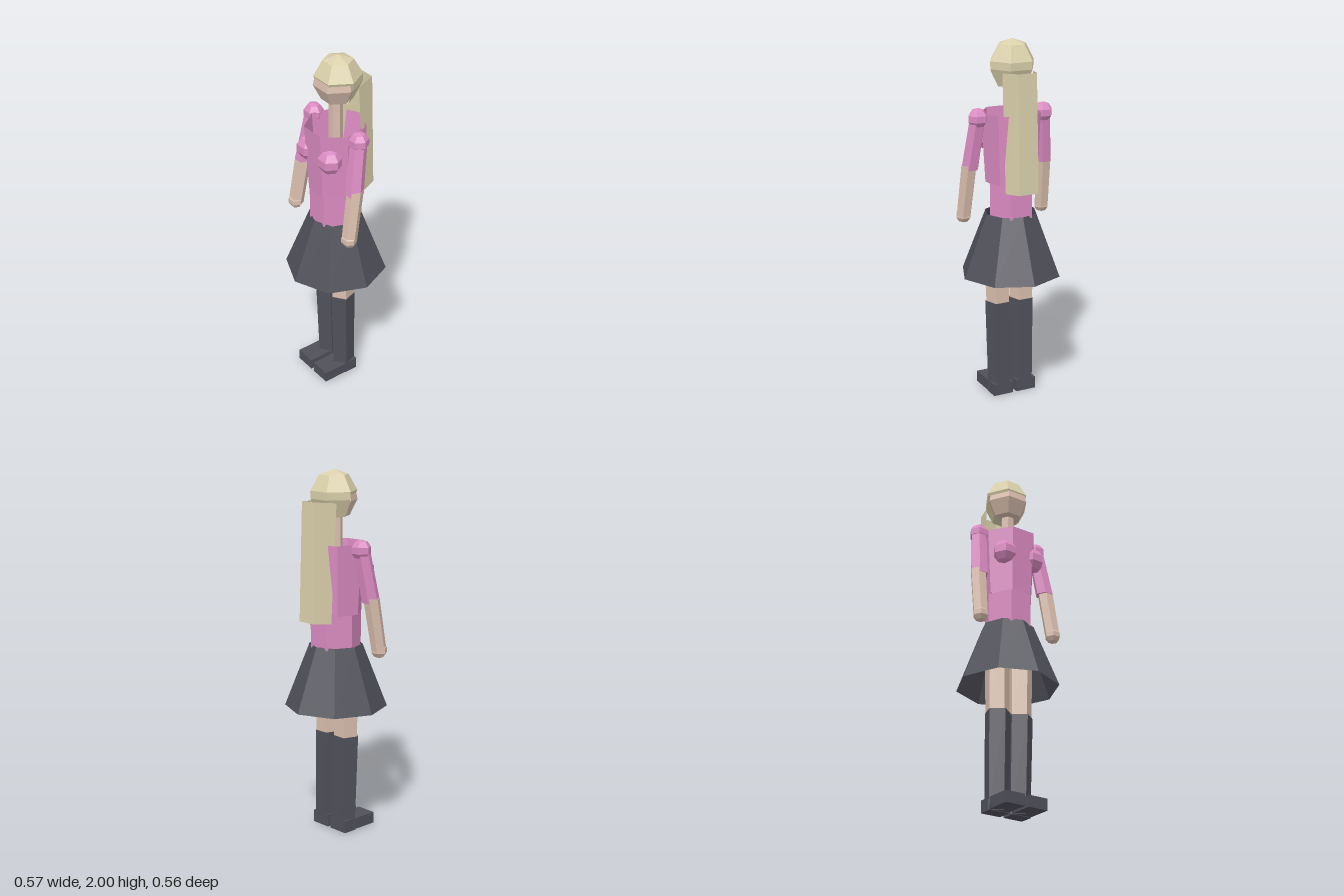
import * as THREE from 'three';

const mat = (name, color) => {
  const m = new THREE.MeshStandardMaterial({ color, flatShading: true, side: THREE.DoubleSide });
  m.name = name;
  return m;
};

export function createModel() {
  const skin = mat('skin', 0xdabfae);
  const pink = mat('pink cloth', 0xdb8bc2);
  const blonde = mat('blonde hair', 0xdad0ab);
  const dark = mat('dark cloth', 0x50505a);
  const model = new THREE.Group();
  model.name = 'figure';

  const add = (name, geometry, material, x = 0, y = 0, z = 0) => {
    const mesh = new THREE.Mesh(geometry, material);
    mesh.name = name;
    mesh.position.set(x, y, z);
    model.add(mesh);
    return mesh;
  };

  // Prism with level ends whose centre line runs from a (bottom) to b (top)
  const prism = (a, b, ra, rb, sides, theta = 0, open = false, sx = 1) => {
    const h = b[1] - a[1];
    const g = new THREE.CylinderGeometry(rb, ra, h, sides, 1, open, theta);
    const p = g.attributes.position;
    for (let i = 0; i < p.count; i++) {
      const t = p.getY(i) / h + 0.5;
      p.setXYZ(i,
        p.getX(i) * sx + a[0] + (b[0] - a[0]) * t,
        a[1] + h * t,
        p.getZ(i) + a[2] + (b[2] - a[2]) * t);
    }
    g.computeVertexNormals();
    return g;
  };
  const lathe = (pts, sides, start, length = Math.PI * 2) =>
    new THREE.LatheGeometry(pts.map(q => new THREE.Vector2(...q)), sides, start, length);
  const ball = (r) => new THREE.SphereGeometry(r, 6, 5);
  const HALF = Math.PI / 2;

  // Head and hair cap: low six-sided domes
  add('face', lathe([[0, 1.743], [0.08, 1.755], [0.122, 1.838], [0.112, 1.885]], 6, HALF), skin, 0, 0, -0.005);
  add('hairCap', lathe([[0.121, 1.872], [0.128, 1.887], [0.08, 1.972], [0, 2]], 6, HALF), blonde, 0, 0, -0.015);
  add('hairBack', lathe([[0, 1.742], [0.083, 1.752], [0.127, 1.845], [0.128, 1.887]], 3, HALF, Math.PI), blonde, 0, 0, -0.015);
  add('neck', prism([0, 1.5, 0], [0, 1.77, 0], 0.037, 0.037, 6, HALF), skin);

  // Long hair: three-sided open sheet down the back
  const top = [[-0.09, 1.83, -0.08], [-0.052, 1.84, -0.195], [0.052, 1.84, -0.195], [0.09, 1.83, -0.08]];
  const low = [[-0.09, 1.19, -0.118], [-0.058, 1.198, -0.212], [0.058, 1.198, -0.212], [0.09, 1.19, -0.118]];
  const sheet = [];
  for (let i = 0; i < 3; i++) {
    sheet.push(...top[i], ...top[i + 1], ...low[i + 1], ...top[i], ...low[i + 1], ...low[i]);
  }
  const hairGeo = new THREE.BufferGeometry();
  hairGeo.setAttribute('position', new THREE.Float32BufferAttribute(sheet, 3));
  hairGeo.computeVertexNormals();
  add('longHair', hairGeo, blonde);

  // Top, waist and skirt: open tubes
  add('shirt', prism([0, 1.228, 0], [0, 1.61, 0], 0.147, 0.17, 7, Math.PI, true, 0.95), pink);
  add('waist', prism([0, 1.04, 0], [0, 1.235, 0], 0.147, 0.147, 6, HALF, true, 0.86), pink);
  add('skirt', prism([0, 0.705, 0], [0, 1.055, 0], 0.281, 0.145, 8, 0, true), dark);

  for (const [side, s] of [['left', 1], ['right', -1]]) {
    add(side + 'Bust', ball(0.07), pink, s * 0.092, 1.46, 0.105);

    // Arm: shoulder, sleeve, forearm, hand
    add(side + 'Shoulder', ball(0.056), pink, s * 0.195, 1.588, 0);
    add(side + 'Sleeve', prism([s * 0.222, 1.305, 0.048], [s * 0.195, 1.6, 0], 0.05, 0.045, 6, HALF), pink);
    add(side + 'Forearm', prism([s * 0.24, 1.035, 0.093], [s * 0.227, 1.33, 0.045], 0.042, 0.045, 6, HALF), skin);
    add(side + 'Hand', ball(0.045), skin, s * 0.24, 1.043, 0.093);

    // Leg: thigh, long sock, shoe
    add(side + 'Thigh', prism([s * 0.072, 0.54, 0.01], [s * 0.077, 1.0, 0.01], 0.067, 0.072, 5), skin);
    add(side + 'Sock', prism([s * 0.068, 0.003, 0], [s * 0.072, 0.546, 0.013], 0.066, 0.072, 5), dark);
    add(side + 'Shoe', new THREE.BoxGeometry(0.118, 0.063, 0.14), dark, s * 0.071, 0.0365, 0.1);
    add(side + 'Heel', new THREE.BoxGeometry(0.118, 0.068, 0.082), dark, s * 0.07, 0.034, -0.011);
  }
  return model;
}
